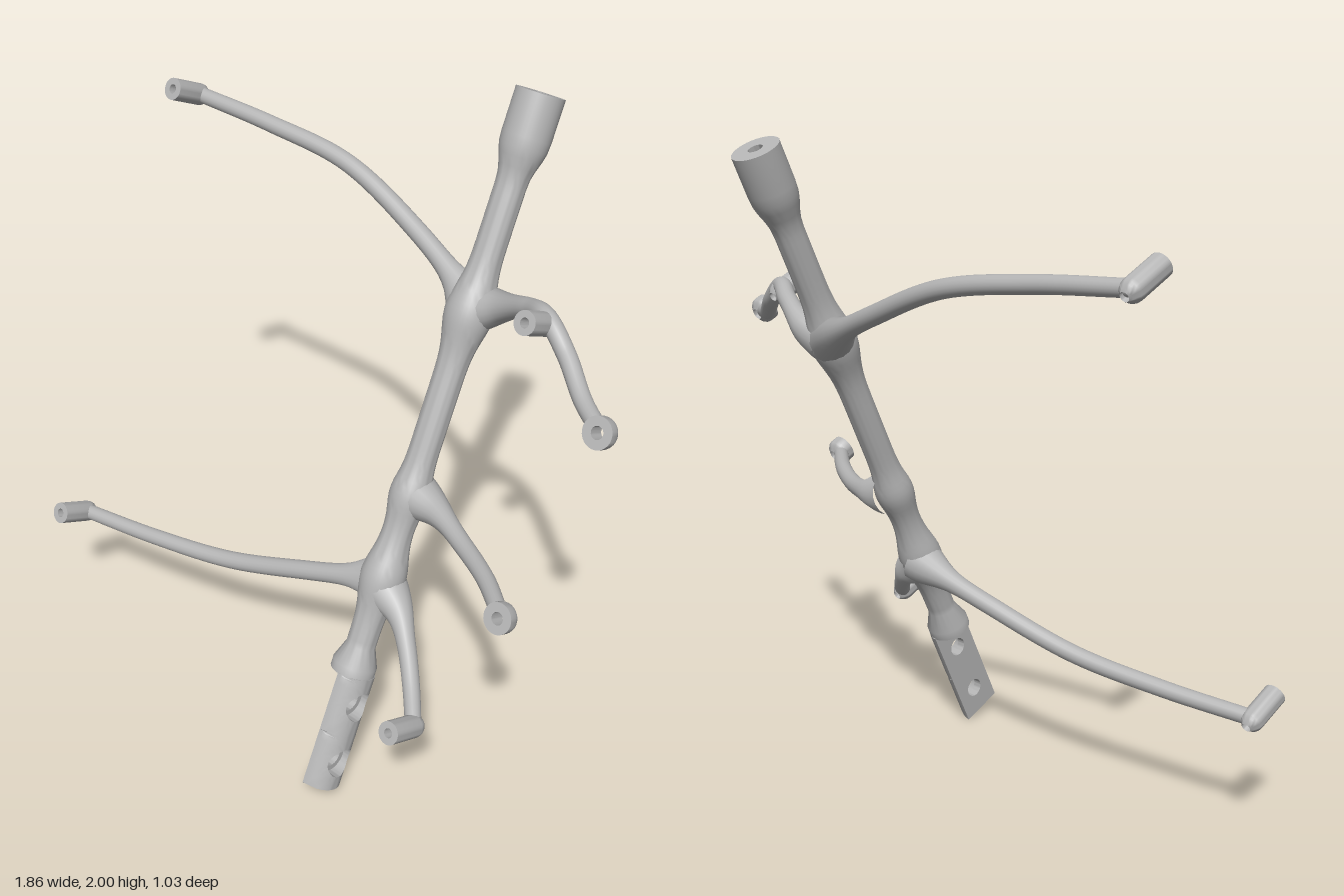
import * as THREE from 'three';
import { toCreasedNormals } from 'three/addons/utils/BufferGeometryUtils.js';

const TILT = 0.433; // backward lean of the stem
const STEM_X = 0.27;
const v2 = (x, y) => new THREE.Vector2(x, y);

function lathe(profile, segments) {
  const pts = profile.map(([x, y]) => v2(x, y));
  return toCreasedNormals(new THREE.LatheGeometry(pts, segments), 0.65);
}

// Stem: a rod with soft swellings where the arms join and a bored collar on top
function stemGeometry() {
  const profile = [[0, 0.372], [0.068, 0.372], [0.068, 0.4]];
  const swellings = [[0.685, 0.024, 0.085], [0.95, 0.016, 0.065], [1.51, 0.026, 0.09]];
  for (let s = 0.46; s < 1.9; s += 0.02) {
    let r = 0.045;
    for (const [c, a, w] of swellings) r += a * Math.exp(-(((s - c) / w) ** 2));
    profile.push([r, s]);
  }
  profile.push([0.047, 1.91], [0.053, 1.935], [0.063, 1.965], [0.069, 1.99], [0.071, 2.02],
    [0.071, 2.143], [0.022, 2.143], [0.022, 2.05], [0, 2.05]);
  return lathe(profile, 36);
}

// One half-round length of the foot with a counterbored hole through it, built from closed rings
function footCell(y0, y1, holeY) {
  const R = 0.07, HOLE = 0.03, BORE = 0.047, LEDGE = 0.03, N = 48;
  const round = z => Math.sqrt(Math.max(0, R * R - z * z));
  const circle = r => a => [holeY + r * Math.sin(a), -r * Math.cos(a)];
  const rect = a => {
    const c = Math.cos(a), s = Math.sin(a), k = 1 / Math.max(Math.abs(c), Math.abs(s));
    return [(y0 + y1) / 2 + s * k * (y1 - y0) / 2, -c * k * R];
  };
  const rings = [[rect, 0], [circle(HOLE), 0], [circle(HOLE), LEDGE], [circle(BORE), LEDGE]];
  for (let k = 0; k <= 6; k++) {
    const t = Math.sin(k / 6 * Math.PI / 2);
    rings.push([a => {
      const p = circle(BORE)(a), q = rect(a);
      return [p[0] + (q[0] - p[0]) * t, p[1] + (q[1] - p[1]) * t];
    }, null]);
  }
  const pos = [], index = [];
  rings.forEach(([at, x], j) => {
    const next = (j + 1) % rings.length;
    for (let i = 0; i < N; i++) {
      const [y, z] = at(i / N * Math.PI * 2);
      pos.push(x === null ? round(z) : x, y, z);
      const n = (i + 1) % N;
      const a = j * N + i, b = next * N + i, c = next * N + n, d = j * N + n;
      index.push(a, b, c, a, c, d);
    }
  });
  const g = new THREE.BufferGeometry();
  g.setAttribute('position', new THREE.Float32BufferAttribute(pos, 3));
  g.setIndex(index);
  return toCreasedNormals(g, 0.65);
}

// Arm: a tube that tapers to its tip and flares into the stem
function armGeometry(points) {
  const curve = new THREE.CatmullRomCurve3(points.map(p => new THREE.Vector3(...p)));
  const rows = 56, sides = 18, length = curve.getLength();
  const g = new THREE.TubeGeometry(curve, rows, 1, sides);
  const p = g.attributes.position, v = new THREE.Vector3();
  for (let i = 0; i <= rows; i++) {
    const t = i / rows, c = curve.getPointAt(t), d = t * length;
    const r = 0.024 + 0.007 * (1 - t) + 0.04 * Math.exp(-((d / 0.1) ** 2));
    for (let j = 0; j <= sides; j++) {
      const k = i * (sides + 1) + j;
      v.fromBufferAttribute(p, k).sub(c).multiplyScalar(r).add(c);
      p.setXYZ(k, v.x, v.y, v.z);
    }
  }
  return g;
}

// Bored tip with a rounded back
function tipGeometry(r, hole, front, back) {
  const profile = [[hole, -back]];
  for (let k = 1; k <= 5; k++) {
    const a = (k / 5) * Math.PI / 2;
    profile.push([Math.max(hole + 0.002, r * Math.sin(a)), -back * Math.cos(a)]);
  }
  profile.push([r, front], [hole, front], [hole, -back]);
  return lathe(profile, 28);
}

export function createModel() {
  const model = new THREE.Group();
  model.name = 'branchedBracket';
  const grey = new THREE.MeshStandardMaterial({ color: 0xb4b4b4 });
  grey.name = 'grey';
  const add = (parent, name, geometry) => {
    const m = new THREE.Mesh(geometry, grey);
    m.name = name;
    parent.add(m);
    return m;
  };

  // Leaning stem and its half-round foot
  const stem = new THREE.Group();
  stem.name = 'stemGroup';
  stem.position.set(STEM_X, 0.03, 0.454);
  stem.rotation.x = -TILT;
  model.add(stem);
  add(stem, 'stem', stemGeometry());
  add(stem, 'footLower', footCell(0, 0.185, 0.09));
  add(stem, 'footUpper', footCell(0.185, 0.375, 0.281));

  // Arms, from the stem outwards
  const arms = {
    upperRightArm: [[0.27, 1.41, -0.195], [0.19, 1.445, -0.225], [0, 1.525, -0.265],
      [-0.3, 1.64, -0.285], [-0.6, 1.685, -0.257], [-0.893, 1.708, -0.228]],
    lowerRightArm: [[0.27, 0.64, 0.16], [0.19, 0.61, 0.172], [0, 0.545, 0.207],
      [-0.3, 0.455, 0.265], [-0.6, 0.418, 0.322], [-0.893, 0.402, 0.375]],
    upperLeftArm: [[0.27, 1.41, -0.195], [0.36, 1.44, -0.213], [0.48, 1.497, -0.18],
      [0.574, 1.525, -0.13], [0.67, 1.465, -0.095], [0.775, 1.405, -0.03], [0.87, 1.387, 0.028]],
    middleLeftArm: [[0.27, 0.89, 0.04], [0.37, 0.87, 0.045], [0.5, 0.855, 0.092],
      [0.65, 0.862, 0.172], [0.78, 0.874, 0.27]],
    lowerLeftArm: [[0.27, 0.63, 0.17], [0.35, 0.575, 0.185], [0.42, 0.515, 0.228],
      [0.5, 0.45, 0.295], [0.576, 0.402, 0.37]],
  };
  for (const name in arms) add(model, name, armGeometry(arms[name]));

  // Long studs and short rings, all square to the stem
  const tip = (name, p, geometry) => {
    const m = add(model, name, geometry);
    m.position.set(...p);
    m.rotation.x = Math.PI / 2 - TILT;
  };
  const stud = tipGeometry(0.034, 0.014, 0.115, 0.034);
  const ring = tipGeometry(0.044, 0.018, 0.024, 0.028);
  tip('upperRightStud', [-0.893, 1.705, -0.23], stud);
  tip('lowerRightStud', [-0.893, 0.398, 0.372], stud);
  tip('upperLeftStud', [0.576, 1.507, -0.132], stud);
  tip('lowerLeftStud', [0.576, 0.398, 0.372], stud);
  tip('upperLeftRing', [0.884, 1.387, 0.034], ring);
  tip('middleLeftRing', [0.793, 0.874, 0.276], ring);
  return model;
}
